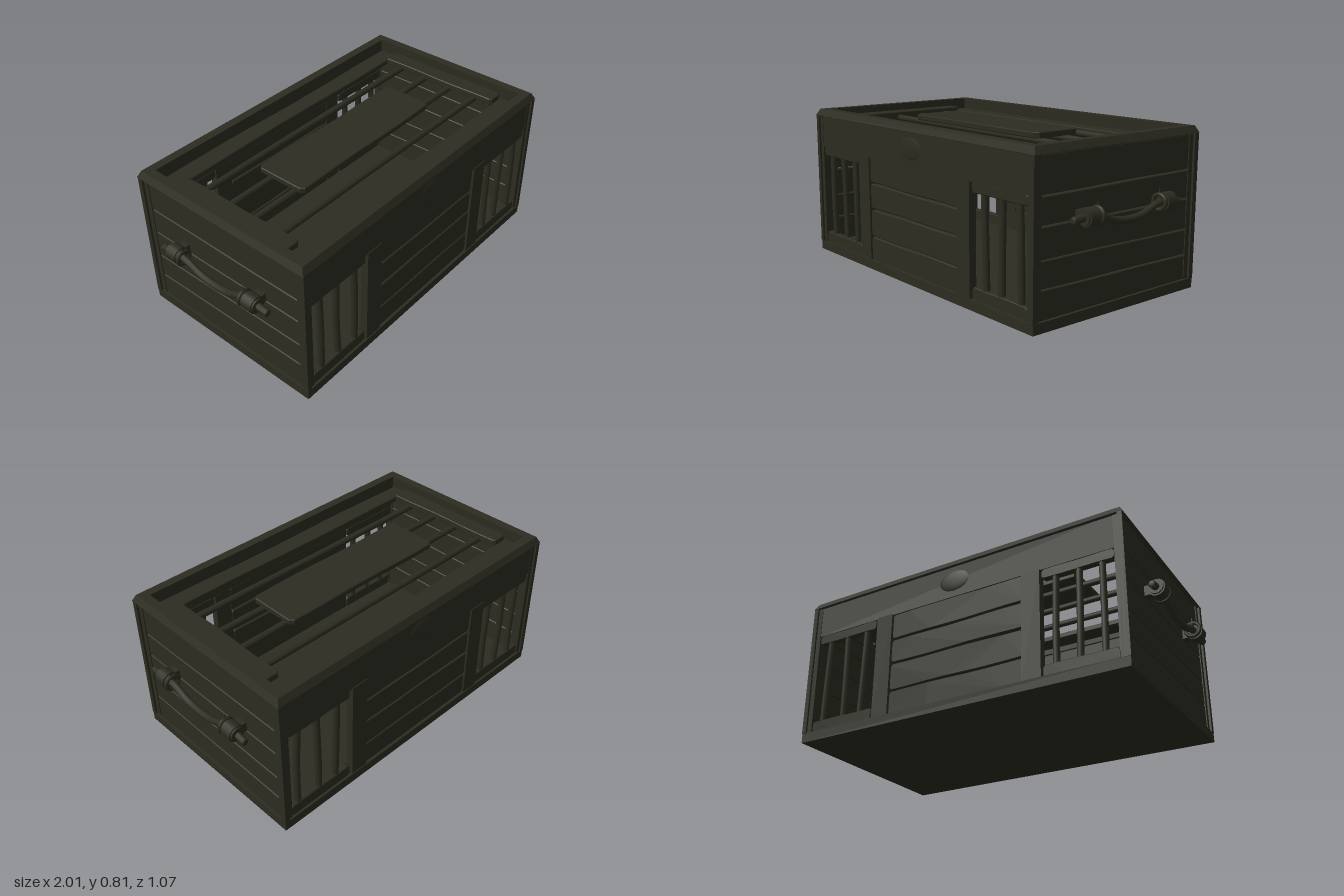
import * as THREE from 'three';

const wood = new THREE.MeshStandardMaterial({ color: 0x2c2c21 });
wood.name = 'dark olive wood';

function add(parent, name, geometry, x = 0, y = 0, z = 0) {
  const mesh = new THREE.Mesh(geometry, wood);
  mesh.name = name;
  mesh.position.set(x, y, z);
  parent.add(mesh);
  return mesh;
}

// Hand-cut board: [left, right] heights for its lower and upper edges, gently uneven, corners clipped
function board(x0, x1, low, high, thick, seed = 0, wobble = 0.003, cut = 0.012) {
  const bevel = 0.004, c = cut / (x1 - x0), pts = [];
  const steps = [0, c, 0.14, 0.27, 0.41, 0.55, 0.7, 0.86, 1 - c, 1];
  const edge = (t, pair, phase) => pair[0] + (pair[1] - pair[0]) * t + Math.sin(t * 9 + seed * 2.3 + phase) * wobble;
  const clip = (t) => (t === 0 || t === 1 ? cut : 0);
  for (const t of steps) pts.push(new THREE.Vector2(x0 + (x1 - x0) * t, edge(t, low, 0) + clip(t)));
  for (const t of steps.reverse()) pts.push(new THREE.Vector2(x0 + (x1 - x0) * t, edge(t, high, 1.7) - clip(t)));
  const g = new THREE.ExtrudeGeometry(new THREE.Shape(pts), {
    depth: thick - 2 * bevel, bevelEnabled: true, bevelThickness: bevel,
    bevelSize: bevel, bevelOffset: -bevel, bevelSegments: 1,
  });
  return g.translate(0, 0, bevel - thick / 2);
}

// Slightly bent round stick between two points
function stick(a, b, radius, seed) {
  const mid = a.clone().lerp(b, 0.45);
  mid.x += Math.sin(seed * 4.1) * 0.004;
  mid.z += Math.cos(seed * 2.7) * 0.004;
  return new THREE.TubeGeometry(new THREE.CatmullRomCurve3([a, mid, b]), 8, radius, 8);
}

// Rectangular ring swept from a closed profile of [inset, y] points, rising on its outer side
function rectRing(hx, hz, profile) {
  const pos = [], corners = [[1, 1], [1, -1], [-1, -1], [-1, 1]];
  const at = (c, p) => [c[0] * (hx - p[0]), p[1], c[1] * (hz - p[0])];
  corners.forEach((c, i) => {
    const d = corners[(i + 1) % 4];
    profile.forEach((p, j) => {
      const q = profile[(j + 1) % profile.length];
      pos.push(...at(c, p), ...at(d, p), ...at(d, q), ...at(c, p), ...at(d, q), ...at(c, q));
    });
  });
  const g = new THREE.BufferGeometry();
  g.setAttribute('position', new THREE.Float32BufferAttribute(pos, 3));
  g.computeVertexNormals();
  return g;
}

// Long wall: top band, slatted middle, two posts and two barred openings
function longWall(s) {
  const wall = new THREE.Group();
  wall.name = s > 0 ? 'frontWall' : 'backWall';
  add(wall, 'topBand', new THREE.BoxGeometry(1.74, 0.18, 0.035), 0, 0.69, s * 0.503);
  const boss = add(wall, 'ovalBoss', new THREE.SphereGeometry(1, 24, 12), 0, 0.69, s * 0.517);
  boss.scale.set(0.09, 0.06, 0.011);
  const slats = [
    [[0.045, 0.045], [0.17, 0.174]], [[0.178, 0.18], [0.32, 0.322]],
    [[0.331, 0.328], [0.459, 0.454]], [[0.467, 0.462], [0.604, 0.604]],
  ];
  slats.forEach(([lo, hi], i) => add(wall, 'wallSlat', board(-0.385, 0.375, lo, hi, 0.03, i, 0.002), 0, 0, s * 0.5));
  for (const [x0, x1] of [[-0.48, -0.38], [0.375, 0.47]]) {
    add(wall, 'wallPost', new THREE.BoxGeometry(x1 - x0, 0.56, 0.04), (x0 + x1) / 2, 0.325, s * 0.505);
  }
  for (const [x0, x1] of [[-0.86, -0.485], [0.48, 0.86]]) {
    add(wall, 'bottomRail', board(x0, x1, [0.045, 0.045], [0.11, 0.11], 0.035, 3, 0.001), 0, 0, s * 0.5);
    add(wall, 'topRail', board(x0, x1, [0.55, 0.55], [0.603, 0.603], 0.035, 5, 0.001), 0, 0, s * 0.5);
  }
  const bars = [[-0.785, -0.79], [-0.665, -0.675], [-0.548, -0.555], [0.565, 0.55], [0.672, 0.678], [0.805, 0.79]];
  bars.forEach(([low, top], i) => add(wall, 'bar', stick(
    new THREE.Vector3(low, 0.08, s * 0.5), new THREE.Vector3(top, 0.58, s * 0.5), 0.017, i)));
  return wall;
}

// Short wall: five stacked planks
function endWall(s) {
  const wall = new THREE.Group();
  wall.name = s > 0 ? 'leftWall' : 'rightWall';
  const planks = [
    [[0.045, 0.045], [0.184, 0.171]], [[0.189, 0.177], [0.316, 0.301]], [[0.32, 0.306], [0.461, 0.453]],
    [[0.467, 0.459], [0.592, 0.597]], [[0.599, 0.603], [0.77, 0.77]],
  ];
  planks.forEach(([lo, hi], i) => add(wall, 'wallPlank',
    board(-0.49, 0.49, lo, hi, 0.03, i, 0.001, 0.003).rotateY(Math.PI / 2), s * 0.88));
  return wall;
}

// Rope handle held by two lashed brackets
function handle(s) {
  const g = new THREE.Group();
  g.name = s > 0 ? 'leftHandle' : 'rightHandle';
  const x = s * 0.957;
  const path = [[0.35, 0.482], [0.25, 0.488], [0.18, 0.48], [0.09, 0.447], [0, 0.438],
    [-0.09, 0.447], [-0.18, 0.48], [-0.25, 0.488], [-0.34, 0.475]];
  const curve = new THREE.CatmullRomCurve3(path.map(([z, y]) => new THREE.Vector3(x, y, z)));
  add(g, 'grip', new THREE.TubeGeometry(curve, 40, 0.018, 10));
  for (const t of [-1, 1]) {
    const [ez, ey] = t > 0 ? path[0] : path[path.length - 1];
    add(g, 'gripEnd', new THREE.SphereGeometry(0.018, 10, 6), x, ey, ez).scale.z = 0.3;
    add(g, 'bracket', new THREE.CylinderGeometry(0.043, 0.043, 0.06, 14).rotateX(Math.PI / 2), x, 0.487, t * 0.252);
    for (const z of [0.219, 0.285]) {
      add(g, 'bracketRim', new THREE.CylinderGeometry(0.036, 0.036, 0.012, 14).rotateX(Math.PI / 2), x, 0.487, t * z);
    }
    add(g, 'bracketMount', new THREE.BoxGeometry(0.05, 0.05, 0.05), s * 0.915, 0.487, t * 0.252);
    add(g, 'lashing', new THREE.TorusGeometry(0.036, 0.01, 8, 18), x, 0.487, t * 0.203);
    add(g, 'lashingTip', new THREE.ConeGeometry(0.009, 0.05, 6), x, 0.535, t * 0.203);
  }
  return g;
}

export function createModel() {
  const crate = new THREE.Group();
  crate.name = 'crate';

  add(crate, 'base', new THREE.BoxGeometry(1.82, 0.05, 1.06), 0, 0.025, 0);
  add(crate, 'topFrame', rectRing(0.915, 0.533,
    [[0.06, 0.7], [0.035, 0.7], [0.03, 0.765], [0, 0.775], [0.018, 0.81], [0.065, 0.81]]));

  for (const s of [1, -1]) {
    crate.add(longWall(s), endWall(s), handle(s));
    for (const t of [1, -1]) {
      add(crate, 'cornerPost', new THREE.BoxGeometry(0.04, 0.74, 0.045), s * 0.88, 0.415, t * 0.5);
      add(crate, 'cornerTrim', new THREE.BoxGeometry(0.025, 0.73, 0.027), s * 0.899, 0.412, t * 0.519);
    }
  }

  // Lid: edge boards, end battens, open bars and a raised centre panel
  const lid = new THREE.Group();
  lid.name = 'lid';
  lid.position.y = -0.012;
  const flat = (g) => g.rotateX(-Math.PI / 2);
  for (const s of [1, -1]) {
    add(lid, 'edgeBoard', flat(board(-0.85, 0.84, [-0.05, -0.05], [0.05, 0.045], 0.03, s, 0.004)), 0, 0.748, s * 0.41);
    add(lid, 'endBatten', flat(board(-0.36, 0.355, [-0.047, -0.04], [0.047, 0.047], 0.035, s)).rotateY(Math.PI / 2),
      s * 0.797, 0.768, 0);
    for (const z of [0.077, 0.243]) {
      add(lid, 'lidBar', stick(new THREE.Vector3(-0.86, 0.752, s * z), new THREE.Vector3(0.86, 0.752, s * (z + 0.006)),
        0.017, s + z * 9));
    }
  }
  add(lid, 'centrePanel', flat(board(-0.495, 0.49, [-0.14, -0.14], [0.145, 0.14], 0.03, 2, 0.003, 0.018)), 0, 0.785, 0);
  crate.add(lid);
  return crate;
}
